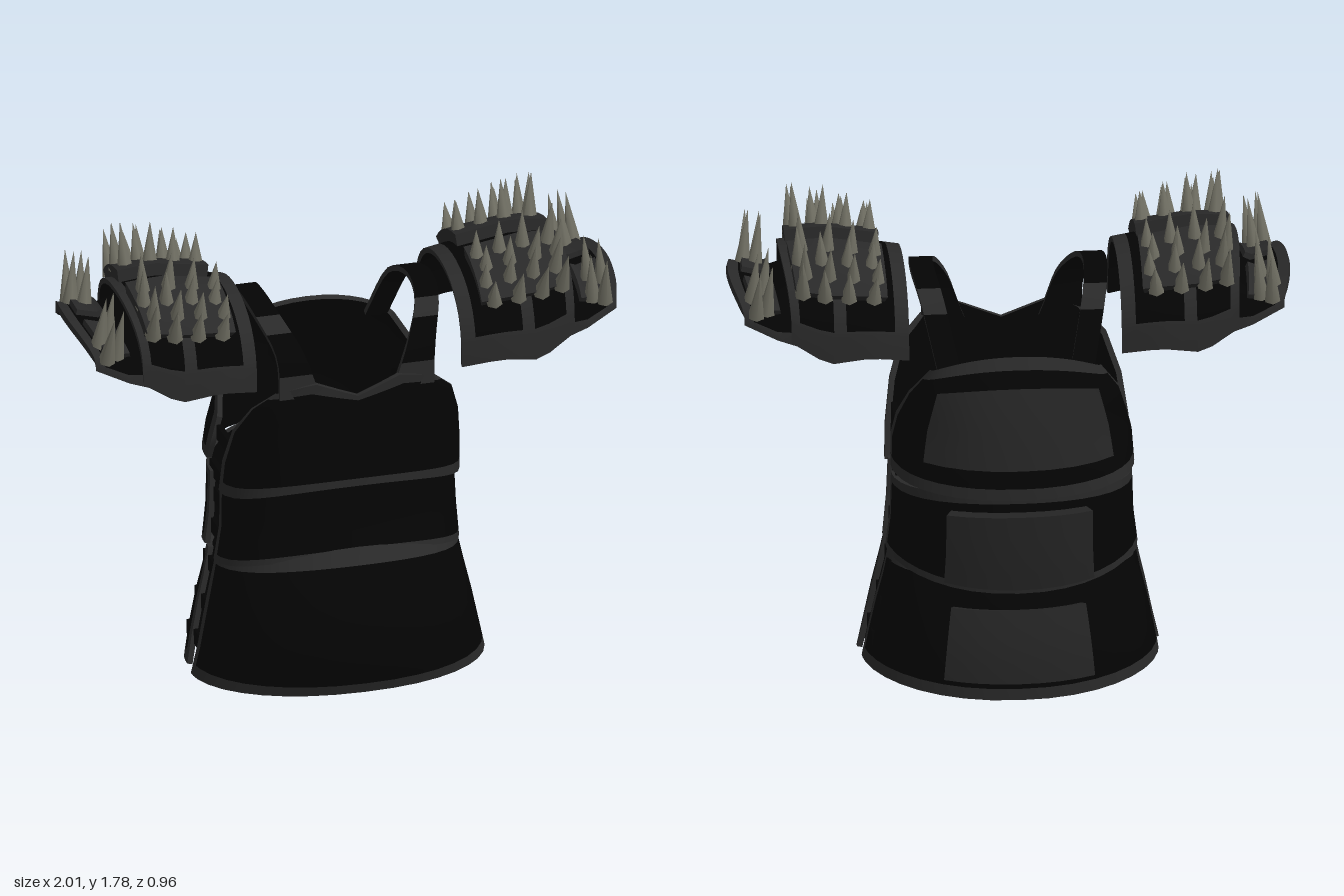
import * as THREE from 'three';
import { toCreasedNormals } from 'three/addons/utils/BufferGeometryUtils.js';

const mat = (name, color) => {
  const m = new THREE.MeshStandardMaterial({ color });
  m.name = name;
  return m;
};
const V = (x, y, z) => new THREE.Vector3(x, y, z);
const clamp = THREE.MathUtils.clamp;

// Interpolate evenly spaced cross-section rows at v in 0..1
function rowAt(rows, v) {
  const f = clamp(v, 0, 1) * (rows.length - 1);
  const i = Math.min(Math.floor(f), rows.length - 2);
  return rows[i].map((a, k) => a + (rows[i + 1][k] - a) * (f - i));
}

// True when du x dv of surface P points towards centre
function isFlipped(P, centre) {
  const mid = P(0, 0.5);
  return P(0.05, 0.5).sub(mid).cross(P(0, 0.55).sub(mid)).dot(mid.clone().sub(centre)) < 0;
}

// Unit normal of surface P(u, v), pointing away from centre
function normalAt(P, u, v, centre) {
  const e = 0.01;
  const du = P(Math.min(u + e, 1), v).sub(P(Math.max(u - e, -1), v));
  const dv = P(u, Math.min(v + e, 1)).sub(P(u, Math.max(v - e, 0)));
  const n = du.cross(dv).normalize();
  return isFlipped(P, centre) ? n.negate() : n;
}

function breaks(a, b, n, cuts) {
  const list = Array.from({ length: n + 1 }, (_, i) => a + (b - a) * i / n);
  cuts.forEach(c => { if (c > a && c < b) list.push(c); });
  return list.sort((p, q) => p - q).filter((x, i, l) => !i || x - l[i - 1] > 1e-4);
}

// Closed curved plate: outer skin, inner lining and edge walls.
// isRim(u, v) picks the second material for outer cells.
function plate(name, P, centre, materials, o = {}) {
  const { u = [-1, 1], v = [0, 1], nu = 18, nv = 8, lift = 0, thick = 0.02,
    uCuts = [-0.95, 0.95], vCuts = [0.09, 0.91],
    isRim = (a, b) => Math.abs(a) > 0.95 || b < 0.09 || b > 0.91 } = o;
  const us = breaks(u[0], u[1], nu, uCuts), vs = breaks(v[0], v[1], nv, vCuts);
  const pos = [], panel = [], rim = [], U = us.length, W = vs.length;
  for (const off of [lift, lift - thick])
    for (const b of vs) for (const a of us) {
      const p = P(a, b).addScaledVector(normalAt(P, a, b, centre), off);
      pos.push(p.x, p.y, p.z);
    }
  const flip = isFlipped(P, centre);
  const quad = (list, a, b, c, d) =>
    flip ? list.push(a, c, b, a, d, c) : list.push(a, b, c, a, c, d);
  const id = (i, j, k) => k * U * W + j * U + i;
  for (let j = 0; j < W - 1; j++) for (let i = 0; i < U - 1; i++) {
    const list = isRim((us[i] + us[i + 1]) / 2, (vs[j] + vs[j + 1]) / 2) ? rim : panel;
    quad(list, id(i, j, 0), id(i + 1, j, 0), id(i + 1, j + 1, 0), id(i, j + 1, 0));
    quad(panel, id(i, j, 1), id(i, j + 1, 1), id(i + 1, j + 1, 1), id(i + 1, j, 1));
  }
  const wall = (a, b) => quad(rim, id(...a, 1), id(...b, 1), id(...b, 0), id(...a, 0));
  for (let i = 0; i < U - 1; i++) {
    wall([i, 0], [i + 1, 0]);
    wall([i + 1, W - 1], [i, W - 1]);
  }
  for (let j = 0; j < W - 1; j++) {
    wall([0, j + 1], [0, j]);
    wall([U - 1, j], [U - 1, j + 1]);
  }
  const g = new THREE.BufferGeometry();
  g.setAttribute('position', new THREE.Float32BufferAttribute(pos, 3));
  g.setIndex([...panel, ...rim]);
  g.addGroup(0, panel.length, 0);
  g.addGroup(panel.length, rim.length, 1);
  const mesh = new THREE.Mesh(toCreasedNormals(g, 0.7), materials);
  mesh.name = name;
  return mesh;
}

// Torso rows, bottom to top: [side y, centre y, half width, centre z, side z]
// A low bend gives a boxy section, a high one a pointed section.
const torso = (rows, bend, dip = 0) => (u, v) => {
  const [ys, yc, w, d, e] = rowAt(rows, v);
  const t = u * Math.PI / 2, c = Math.max(0, Math.cos(t)), s = Math.sin(t);
  const y = ys + (yc - ys) * c ** 1.7 - dip * v ** 4 * Math.max(0, 1 - Math.abs(u) * 3);
  return V(w * Math.sign(s) * Math.abs(s) ** 0.93, y, e + (d - e) * c ** bend);
};

// Shoulder rows, inside to outside: [x, half depth, top y, edge y, sweep of the ends]
const arch = (rows, side) => (u, v) => {
  const [x, h, yt, yb, k] = rowAt(rows, v);
  const a = u * Math.PI / 2, s = Math.sin(a);
  return V(side * (x - k * s * s), yb + (yt - yb) * Math.max(0, Math.cos(a)) ** 0.7, 0.055 + h * s);
};

export function createModel() {
  const model = new THREE.Group();
  model.name = 'spikedArmour';
  const black = mat('blackLeather', 0x040404);
  const grey = mat('darkGreyTrim', 0x292929);
  const steel = mat('backPanelGrey', 0x242424);
  const bone = mat('spikeGrey', 0x717064);
  const two = [black, grey];

  // Breast plates
  const chest = V(0, 0.6, 0);
  const front = {
    chestPlate: [[[.75, .83, .44, .345, .07], [.88, .91, .435, .345, .1], [1.02, 1.03, .415, .345, .16],
      [1.14, 1.14, .37, .34, .25], [1.21, 1.25, .295, .34, .3]], .82, .07],
    bellyPlate: [[[.47, .56, .45, .335, .04], [.61, .67, .435, .31, .06], [.76, .87, .43, .3, .05]], .92],
    frontSkirt: [[[.04, .06, .54, .43, .06], [.15, .17, .515, .47, .06], [.27, .29, .49, .485, .05],
      [.38, .42, .465, .45, .04], [.5, .59, .44, .325, .04]], 1.05],
  };
  for (const [name, [rows, bend, dip]] of Object.entries(front))
    model.add(plate(name, torso(rows, bend, dip), chest, two));

  // Back plates, each with a raised panel: [u reach, v from, v to, lift]
  const back = {
    upperBack: [[[.8, .78, .435, -.45, -.1], [.9, .9, .43, -.45, -.05], [.98, 1.03, .41, -.42, -.05],
      [1.1, 1.16, .375, -.38, -.16], [1.21, 1.28, .305, -.32, -.24]], .85, [.52, .25, .78, .03]],
    middleBack: [[[.48, .4, .45, -.39, -.07], [.6, .56, .435, -.41, -.07],
      [.76, .8, .43, -.425, -.07]], .92, [.36, .12, .84, .045]],
    backSkirt: [[[.04, 0, .53, -.41, -.02], [.15, .12, .51, -.41, -.03], [.27, .24, .485, -.39, -.04],
      [.37, .34, .46, -.36, -.05], [.47, .47, .44, -.3, -.06]], 1, [.31, .16, .72, .04]],
  };
  for (const [name, [rows, bend, [reach, v0, v1, lift]]] of Object.entries(back)) {
    const P = torso(rows, bend);
    model.add(plate(name, P, chest, two));
    model.add(plate(name + 'Panel', P, chest, [steel, steel],
      { u: [-reach, reach], v: [v0, v1], nu: 8, nv: 4, lift, thick: lift + 0.01 }));
  }

  const innerRows = [[.38, .3, 1.55, 1.25, 0], [.52, .32, 1.57, 1.27, 0], [.67, .315, 1.595, 1.25, 0],
    [.82, .295, 1.58, 1.33, .02]];
  const outerRows = [[.74, .29, 1.52, 1.3, 0], [.87, .29, 1.455, 1.34, .02], [1, .26, 1.49, 1.39, .035]];

  for (const side of [1, -1]) {
    const label = side > 0 ? 'left' : 'right';

    // Side straps bridging front and back
    for (const [y, x] of [[.92, .425], [.76, .43], [.67, .43], [.55, .44], [.41, .455], [.27, .485], [.14, .515]]) {
      const strap = new THREE.Mesh(new THREE.BoxGeometry(0.02, 0.055, 0.24), black);
      strap.name = label + 'SideStrap';
      strap.position.set(side * (x - 0.022), y, 0);
      model.add(strap);
    }

    // Strap over the shoulder, flared at the front
    const path = new THREE.CatmullRomCurve3([V(.21, 1.19, .325), V(.245, 1.36, .31), V(.295, 1.47, .2),
      V(.31, 1.5, .04), V(.29, 1.44, -.14), V(.24, 1.22, -.27)]);
    const ribbon = (u, v) => {
      const p = path.getPoint(v);
      return V(side * (p.x + u * (0.042 + 0.035 * (1 - v) ** 6)), p.y, p.z);
    };
    model.add(plate(label + 'ShoulderStrap', ribbon, V(side * 0.27, 1.2, 0), two, {
      nu: 2, nv: 20, uCuts: [], vCuts: [],
      isRim: (u, v) => v < 0.1 || (v > 0.3 && v < 0.4) || (v > 0.75 && v < 0.85),
    }));

    // Shoulder guard
    const guard = new THREE.Group();
    guard.name = label + 'ShoulderGuard';
    model.add(guard);
    const centre = V(side * 0.7, 1.2, 0.055);
    const inner = arch(innerRows, side), outer = arch(outerRows, side);
    guard.add(plate('innerGuard', inner, centre, two, {
      uCuts: [-.86, .86], vCuts: [.12, .52, .62, .92],
      isRim: (u, v) => Math.abs(u) > .86 || v < .12 || v > .92 || (v > .52 && v < .62 && Math.abs(u) > .1),
    }));
    guard.add(plate('outerGuard', outer, centre, two, {
      uCuts: [-.9, .9], vCuts: [.3, .85], isRim: (u, v) => Math.abs(u) > .9 || v > .85,
    }));

    // Six-sided spike leaning out from the surface
    const spike = (P, u, v, lift, length) => {
      const n = normalAt(P, u, v, centre);
      const dir = n.clone().multiplyScalar(0.7).add(V(side * 0.04, 0.6, 0)).normalize();
      const cone = new THREE.Mesh(new THREE.ConeGeometry(0.031, length, 6), bone);
      cone.name = 'spike';
      cone.position.copy(P(u, v)).addScaledVector(n, lift).addScaledVector(dir, length / 2 - 0.02);
      cone.quaternion.setFromUnitVectors(V(0, 1, 0), dir);
      guard.add(cone);
    };

    // Raised blocks and spikes on the front and rear halves
    for (const half of [1, -1]) {
      const span = [0.1 * half, 0.62 * half].sort((a, b) => a - b);
      guard.add(plate('spikeBlock', inner, centre, [grey, grey],
        { u: span, v: [0.2, 0.94], nu: 6, nv: 5, lift: 0.045, thick: 0.055, uCuts: [], vCuts: [] }));
      guard.add(plate('outerSpikeBlock', outer, centre, [grey, grey],
        { u: span, v: [0.4, 0.82], nu: 6, nv: 3, lift: 0.02, thick: 0.03, uCuts: [], vCuts: [] }));
      for (let i = 0; i < 4; i++) for (let j = 0; j < 4; j++)
        spike(inner, half * (0.22 + 0.13 * i), 0.27 + 0.19 * j + (i % 2) * 0.04, 0.04,
          0.12 + 0.018 * j + (i === 0 ? 0.01 : 0));
      for (let i = 0; i < 4; i++)
        spike(outer, half * (0.34 + 0.13 * i), 0.62 + (i % 2) * 0.18, 0.015, 0.2);
    }
  }
  return model;
}
